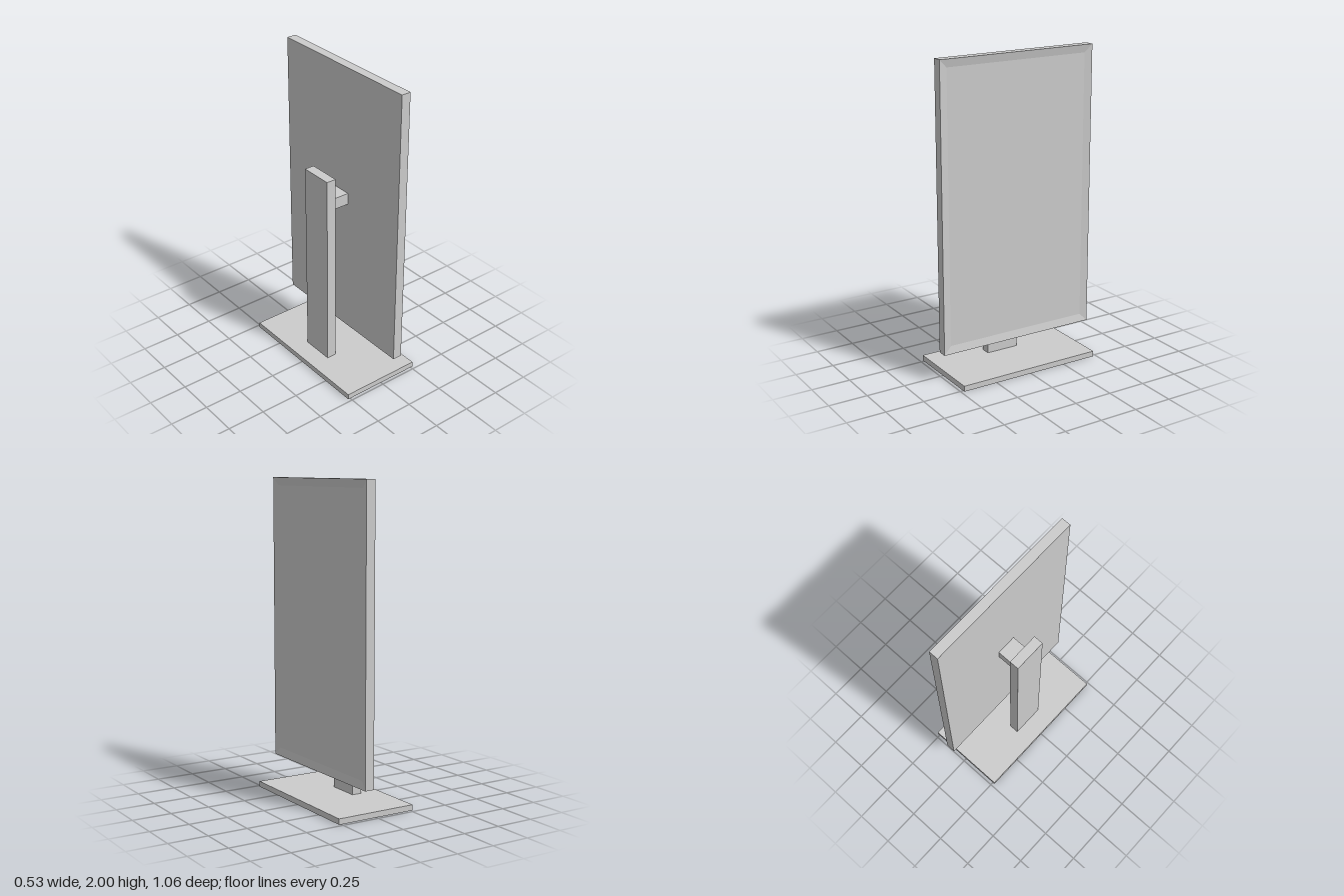
import * as THREE from 'three';

const material = new THREE.MeshStandardMaterial({ color: 0xcccccc, flatShading: true, side: THREE.DoubleSide });

// Box given by its min and max corners; the listed faces are left open
// (0 +x, 1 -x, 2 +y, 3 -y, 4 +z, 5 -z).
function boxShell(name, [x0, y0, z0], [x1, y1, z1], openFaces = []) {
  const geometry = new THREE.BoxGeometry(x1 - x0, y1 - y0, z1 - z0);
  geometry.translate((x0 + x1) / 2, (y0 + y1) / 2, (z0 + z1) / 2);
  const index = Array.from(geometry.index.array);
  geometry.setIndex(index.filter((_, i) => !openFaces.includes(Math.floor(i / 6))));
  geometry.clearGroups();
  const mesh = new THREE.Mesh(geometry, material);
  mesh.name = name;
  return mesh;
}

// Shallow dished face looking along +x: a mitred sloping border round a sunken rectangle
function dishedFace(name, x, y0, y1, halfDepth, border, sink) {
  const positions = [];
  for (const [inset, px] of [[0, x], [border, x - sink]]) {
    const z = halfDepth - inset, lo = y0 + inset, hi = y1 - inset;
    positions.push(px, lo, z, px, lo, -z, px, hi, -z, px, hi, z);
  }
  const index = [4, 5, 6, 4, 6, 7];
  for (let i = 0; i < 4; i++) {
    const j = (i + 1) % 4;
    index.push(i, j, j + 4, i, j + 4, i + 4);
  }
  const indexed = new THREE.BufferGeometry();
  indexed.setAttribute('position', new THREE.Float32BufferAttribute(positions, 3));
  indexed.setIndex(index);
  const geometry = indexed.toNonIndexed();
  geometry.computeVertexNormals();
  const mesh = new THREE.Mesh(geometry, material);
  mesh.name = name;
  return mesh;
}

export function createModel() {
  const model = new THREE.Group();
  model.name = 'monitorOnStand';

  // Stand: hollow base plate, upright post open at the foot, short arm
  const stand = new THREE.Group();
  stand.name = 'stand';
  stand.add(
    boxShell('base', [-0.265, 0, -0.48], [0.265, 0.036, 0.48], [3]),
    boxShell('post', [-0.138, 0.015, -0.108], [-0.074, 1.335, 0.108], [3]),
    boxShell('arm', [-0.074, 1.1, -0.066], [0.055, 1.175, 0.066], [0, 1]),
  );

  // Upright display panel with a slightly sunken screen
  const display = new THREE.Group();
  display.name = 'display';
  display.add(
    boxShell('housing', [0.055, 0.19, -0.53], [0.116, 2, 0.53], [0]),
    dishedFace('screen', 0.116, 0.19, 2, 0.53, 0.05, 0.01),
  );

  model.add(stand, display);
  return model;
}
